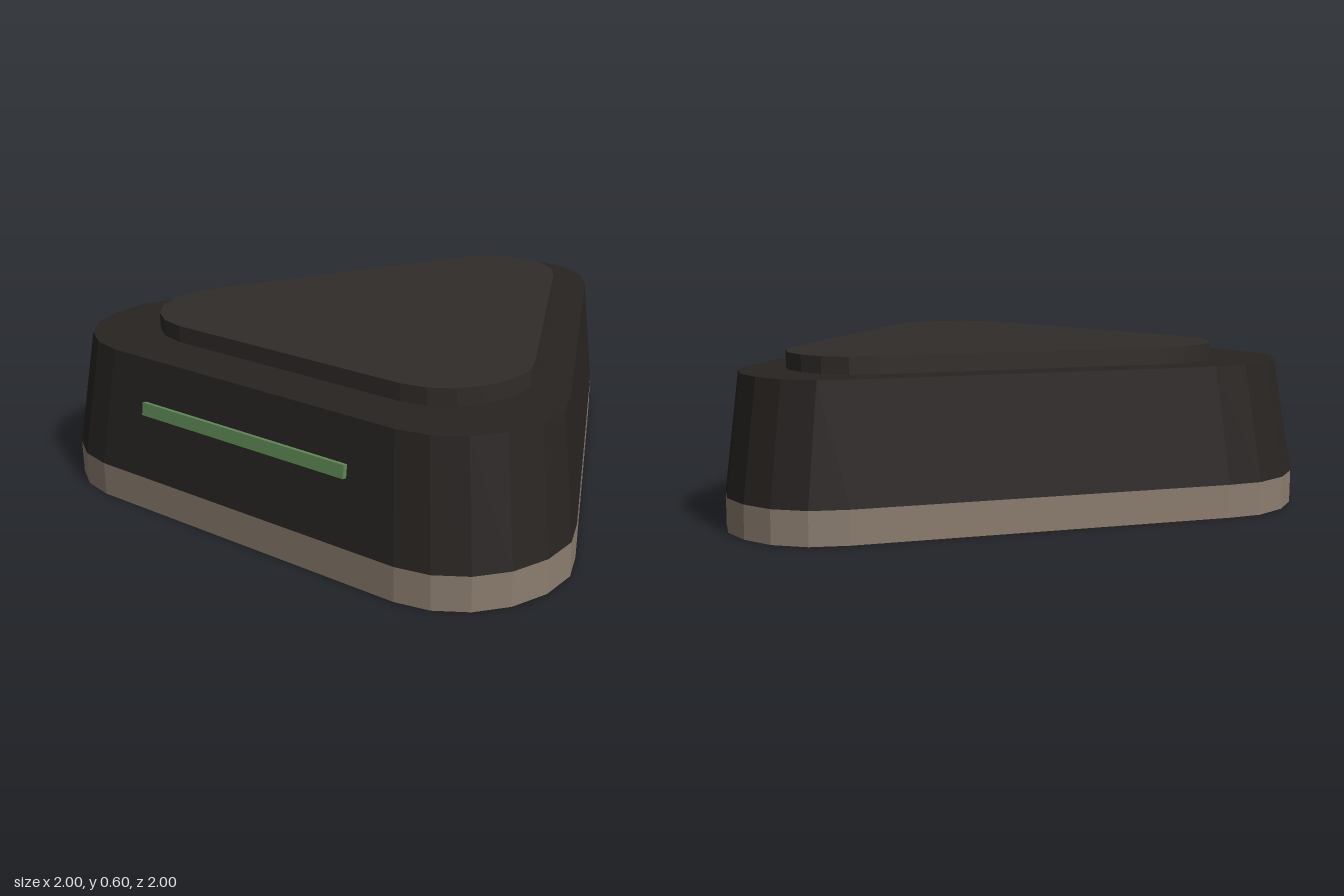
import * as THREE from 'three';

// right half of the rounded-triangle outline, [x, z], from back tip to front edge
const HALF = [
  [0, -1], [0.12, -0.98], [0.23, -0.91], [0.31, -0.8], [0.95, 0.42], [1, 0.54],
  [1, 0.68], [0.955, 0.81], [0.875, 0.91], [0.77, 0.975], [0.65, 1],
];
const OUTLINE = [...HALF, ...HALF.slice(1).reverse().map(([x, z]) => [-x, z])];

function material(color) {
  return new THREE.MeshStandardMaterial({ color, flatShading: true });
}

// closed slab whose outline scales from s0 at y0 to s1 at y1
function slab(name, y0, s0, y1, s1, color) {
  const shape = new THREE.Shape(OUTLINE.map(([x, z]) => new THREE.Vector2(x, -z)));
  const geometry = new THREE.ExtrudeGeometry(shape, { depth: 1, bevelEnabled: false });
  geometry.rotateX(-Math.PI / 2);
  const p = geometry.attributes.position;
  for (let i = 0; i < p.count; i++) {
    const t = p.getY(i);
    const s = s0 + (s1 - s0) * t;
    p.setXYZ(i, p.getX(i) * s, y0 + (y1 - y0) * t, p.getZ(i) * s);
  }
  geometry.computeVertexNormals();
  const mesh = new THREE.Mesh(geometry, material(color));
  mesh.name = name;
  return mesh;
}

export function createModel() {
  const group = new THREE.Group();
  group.name = 'triangularDevice';

  // straight base band, tapered housing and raised top plate
  group.add(
    slab('baseBand', 0, 1, 0.12, 1, 0x8c7e70),
    slab('housing', 0.12, 1, 0.54, 0.94, 0x282422),
    slab('topPlate', 0.54, 0.75, 0.6, 0.75, 0x302c29),
  );

  // light strip lying against the sloping front wall
  const strip = new THREE.Mesh(new THREE.BoxGeometry(0.89, 0.045, 0.03), material(0x5f8a55));
  strip.name = 'lightStrip';
  strip.position.set(0, 0.368, 0.966);
  strip.rotation.x = -Math.atan2(0.06, 0.42);
  group.add(strip);

  return group;
}
